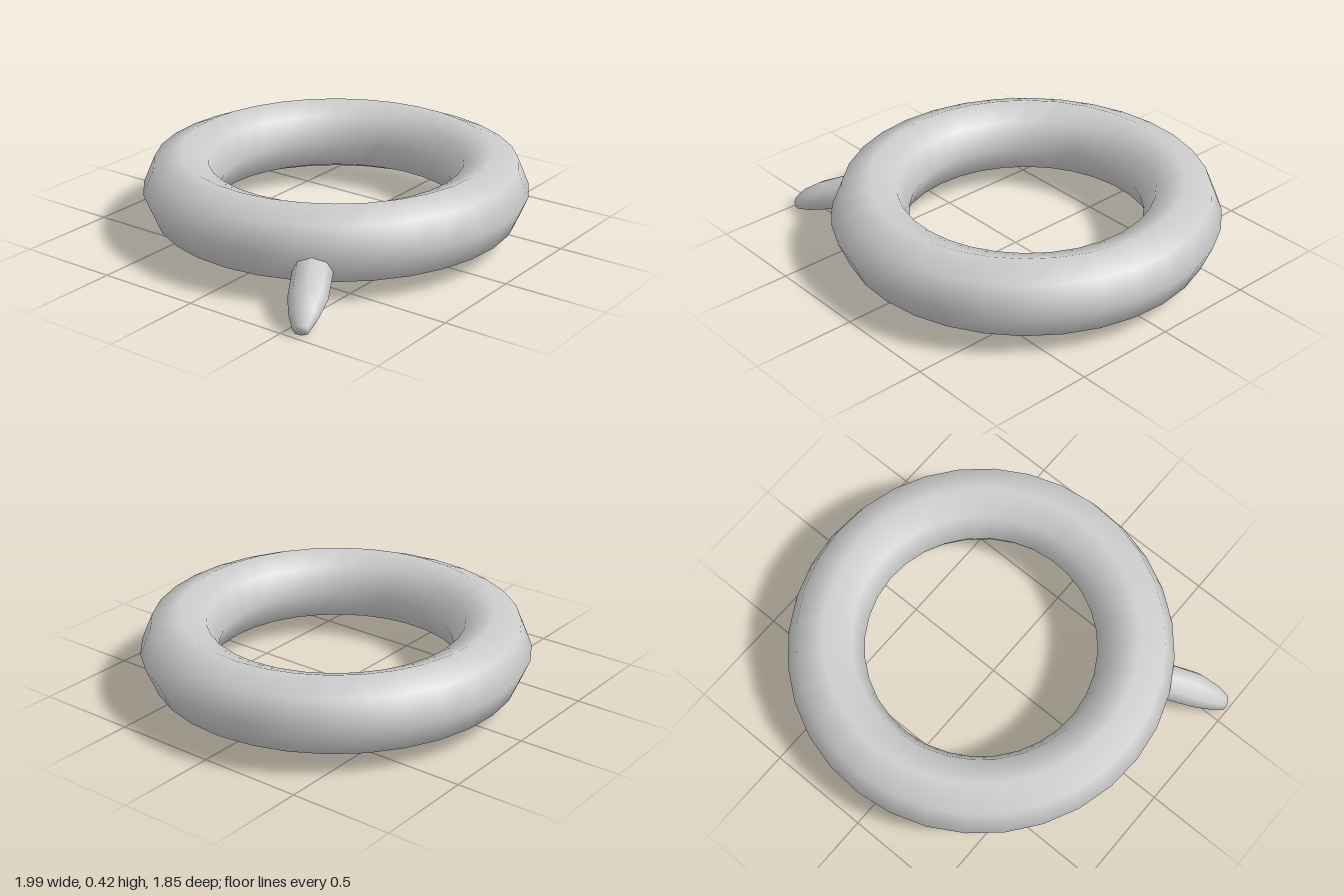
import * as THREE from 'three';

const material = new THREE.MeshStandardMaterial({ color: 0xcccccc });

// Lofts elliptical rings [centre, halfWidth, halfHeight] set square to an axis, closed at the end
function loft(rings, axis, sides) {
  const d = axis.clone().normalize();
  const across = new THREE.Vector3(0, 1, 0).cross(d).normalize();
  const up = d.clone().cross(across);
  const positions = [];
  const index = [];
  rings.forEach(([centre, w, h], i) => {
    for (let k = 0; k < sides; k++) {
      const t = (k / sides) * Math.PI * 2;
      const p = new THREE.Vector3(...centre)
        .addScaledVector(across, Math.cos(t) * w)
        .addScaledVector(up, Math.sin(t) * h);
      positions.push(p.x, p.y, p.z);
      if (i < rings.length - 1) {
        const a = i * sides + k;
        const b = i * sides + ((k + 1) % sides);
        index.push(a, b, a + sides, b, b + sides, a + sides);
      }
    }
  });
  const last = (rings.length - 1) * sides;
  positions.push(...rings[rings.length - 1][0]);
  for (let k = 0; k < sides; k++) {
    index.push(last + k, last + ((k + 1) % sides), last + sides);
  }
  const geometry = new THREE.BufferGeometry();
  geometry.setAttribute('position', new THREE.Float32BufferAttribute(positions, 3));
  geometry.setIndex(index);
  geometry.computeVertexNormals();
  return geometry;
}

export function createModel() {
  const group = new THREE.Group();

  // Ring body, eight sides around the tube
  const ringGeometry = new THREE.TorusGeometry(0.74, 0.184, 8, 32);
  ringGeometry.rotateX(-Math.PI / 2);
  const ring = new THREE.Mesh(ringGeometry, material);
  ring.name = 'ring';
  ring.position.set(0.075, 0.237, -0.002);
  ring.rotation.y = 0.035;
  group.add(ring);

  // Tapered spout sloping down and outward, rooted inside the ring
  const spoutRings = [
    [[-0.62, 0.19, 0.4], 0.09, 0.09],
    [[-0.73, 0.15, 0.46], 0.09, 0.082],
    [[-0.835, 0.108, 0.52], 0.088, 0.07],
    [[-0.915, 0.066, 0.56], 0.066, 0.056],
    [[-0.972, 0.03, 0.588], 0.037, 0.03],
  ];
  const spout = new THREE.Mesh(loft(spoutRings, new THREE.Vector3(-0.81, -0.37, 0.45), 8), material);
  spout.name = 'spout';
  group.add(spout);

  return group;
}
